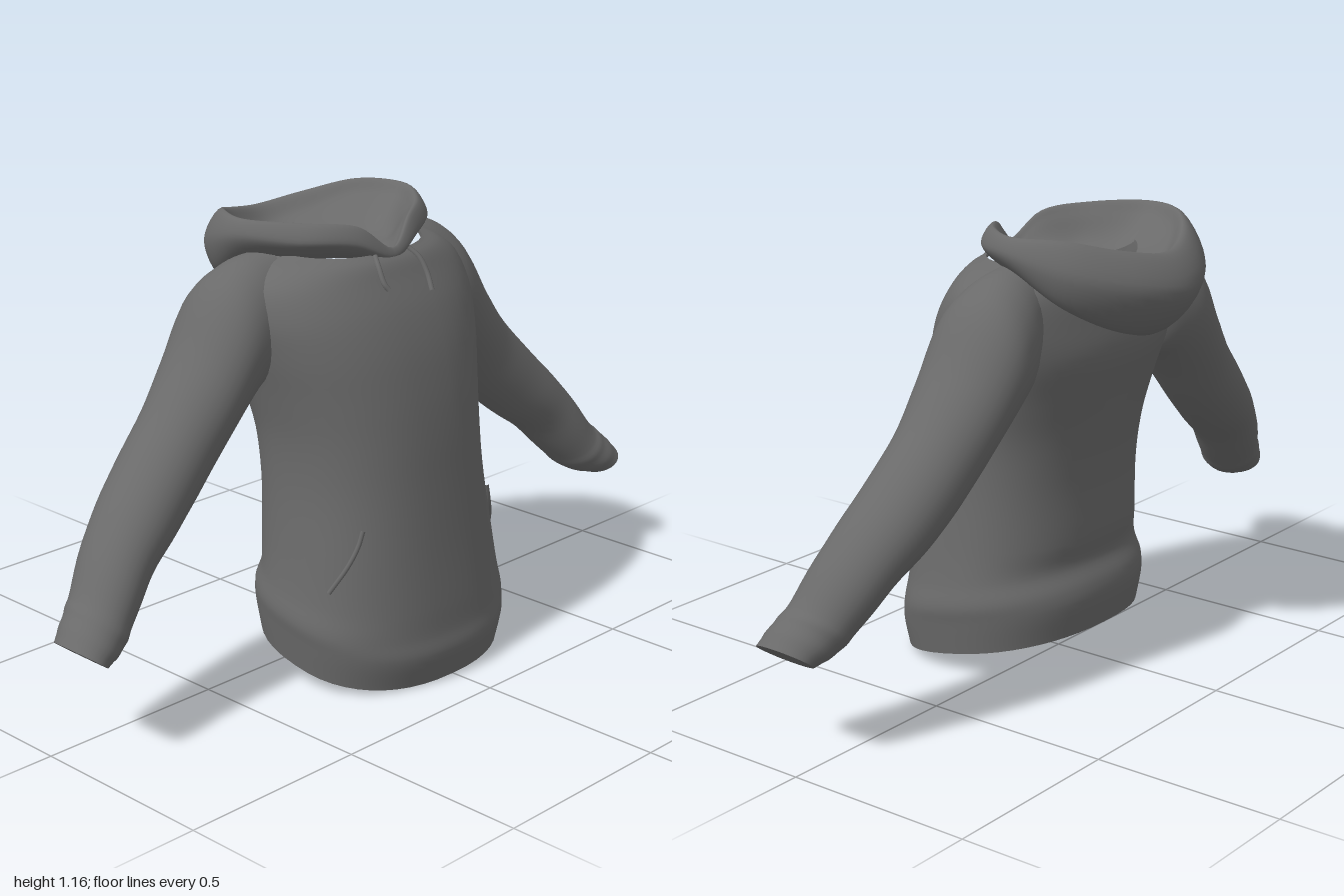
import * as THREE from 'three';

const V = (x, y, z) => new THREE.Vector3(x, y, z);
const SIDES = 48;

// Resample a stack of cross-sections smoothly along its length
function smooth(rows, n) {
  const columns = rows[0].map((_, j) => new THREE.CatmullRomCurve3(rows.map((r) => r[j])).getPoints(n));
  return Array.from({ length: n + 1 }, (_, i) => columns.map((c) => c[i]));
}

// Skin closed cross-sections with smooth normals
function loft(rows) {
  const n = rows[0].length, index = [];
  for (let i = 0; i < rows.length - 1; i++) {
    for (let j = 0; j < n; j++) {
      const k = (j + 1) % n, a = i * n + j, b = i * n + k;
      index.push(a, b, a + n, b, b + n, a + n);
    }
  }
  const g = new THREE.BufferGeometry().setFromPoints(rows.flat());
  g.setIndex(index);
  g.computeVertexNormals();
  return g;
}

// Torso rings: y front, y back, z front, z back, half width, z of widest point
const RINGS = [
  [0.003, 0.105, 0.375, -0.15, 0.32, 0.13],
  [0.08, 0.195, 0.39, -0.165, 0.332, 0.13],
  [0.13, 0.235, 0.38, -0.158, 0.338, 0.13],
  [0.2, 0.285, 0.372, -0.135, 0.325, 0.12],
  [0.33, 0.35, 0.355, -0.143, 0.31, 0.11],
  [0.5, 0.5, 0.335, -0.147, 0.295, 0.08],
  [0.63, 0.63, 0.32, -0.165, 0.298, 0.06],
  [0.74, 0.74, 0.302, -0.19, 0.318, 0.03],
  [0.85, 0.85, 0.275, -0.216, 0.345, 0],
  [0.94, 0.94, 0.24, -0.203, 0.36, -0.03],
  [1.01, 1.01, 0.2, -0.185, 0.345, -0.05],
  [1.05, 1.055, 0.175, -0.165, 0.29, -0.05],
  [1.07, 1.08, 0.15, -0.14, 0.22, -0.04],
];
const POW = 0.85;
const bend = (v) => Math.sign(v) * Math.abs(v) ** POW;

function torsoRing([yF, yB, zF, zB, w, zc]) {
  return Array.from({ length: SIDES }, (_, j) => {
    const a = (j / SIDES) * Math.PI * 2, c = bend(Math.cos(a));
    const z = zc + c * (c > 0 ? zF - zc : zc - zB);
    return V(w * bend(Math.sin(a)), yF + ((yB - yF) * (zF - z)) / (zF - zB), z);
  });
}

// Depth of the chest surface, for laying details on it
function frontZ(x, y) {
  const i = Math.max(1, RINGS.findIndex((r) => r[0] >= y));
  const lo = RINGS[i - 1], hi = RINGS[i], t = (y - lo[0]) / (hi[0] - lo[0]);
  const [, , zF, , w, zc] = lo.map((v, k) => v + (hi[k] - v) * t);
  const s = Math.max(0, 1 - Math.min(1, Math.abs(x) / w) ** (2 / POW));
  return zc + (zF - zc) * s ** (POW / 2);
}

// Sleeve sections: upper x, y, lower x, y, z centre, z half depth
const SLEEVE = [
  [0.24, 1.085, 0.26, 0.82, -0.05, 0.1],
  [0.33, 1.068, 0.29, 0.76, -0.055, 0.125],
  [0.41, 1.02, 0.34, 0.73, -0.057, 0.14],
  [0.51, 0.87, 0.41, 0.665, -0.052, 0.132],
  [0.6, 0.755, 0.49, 0.575, -0.045, 0.118],
  [0.72, 0.63, 0.6, 0.475, -0.028, 0.115],
  [0.83, 0.51, 0.72, 0.385, 0, 0.105],
  [0.92, 0.385, 0.81, 0.29, 0.035, 0.094],
  [0.95, 0.355, 0.85, 0.255, 0.05, 0.092],
  [0.995, 0.303, 0.908, 0.235, 0.068, 0.082],
];

function sleeveRing([ux, uy, lx, ly, zc, hz], side) {
  return Array.from({ length: 32 }, (_, j) => {
    const a = (j / 32) * Math.PI * 2 * side, c = Math.cos(a) / 2;
    return V(side * ((ux + lx) / 2 + (ux - lx) * c), (uy + ly) / 2 + (uy - ly) * c, zc + hz * Math.sin(a));
  });
}

// Hood outlines, front centre to back centre: neck, underside, outer, crest, inner rim, lining
const HOOD = [
  [[0, 1.045, 0.13], [0.09, 1.06, 0.1], [0.18, 1.06, 0.03], [0.22, 1.04, -0.08], [0.18, 1, -0.16], [0.1, 0.96, -0.18], [0, 0.94, -0.18]],
  [[0, 1.045, 0.155], [0.1, 1.08, 0.13], [0.22, 1.085, 0.04], [0.28, 1.07, -0.09], [0.25, 1, -0.2], [0.13, 0.93, -0.275], [0, 0.9, -0.295]],
  [[0, 1.06, 0.165], [0.11, 1.105, 0.14], [0.23, 1.115, 0.06], [0.306, 1.12, -0.08], [0.27, 1.08, -0.23], [0.14, 1.04, -0.35], [0, 1.02, -0.393]],
  [[0, 1.08, 0.155], [0.09, 1.142, 0.125], [0.2, 1.157, 0.05], [0.285, 1.162, -0.08], [0.24, 1.16, -0.2], [0.13, 1.13, -0.29], [0, 1.11, -0.33]],
  [[0, 1.065, 0.138], [0.08, 1.12, 0.11], [0.18, 1.13, 0.03], [0.255, 1.13, -0.08], [0.21, 1.125, -0.19], [0.11, 1.09, -0.25], [0, 1.07, -0.28]],
  [[0, 1.045, 0.1], [0.06, 1.065, 0.07], [0.12, 1.065, 0.02], [0.16, 1.06, -0.07], [0.13, 1.06, -0.13], [0.07, 1.05, -0.16], [0, 1.04, -0.17]],
];

function hoodRing(half) {
  const mirrored = half.slice(1, -1).reverse().map(([x, y, z]) => [-x, y, z]);
  const curve = new THREE.CatmullRomCurve3([...half, ...mirrored].map((p) => V(...p)), true);
  return curve.getPoints(72).slice(0, 72);
}

export function createModel() {
  const fabric = new THREE.MeshStandardMaterial({ color: 0x6a6a6a });
  fabric.name = 'grey fabric';
  const inside = new THREE.MeshStandardMaterial({ color: 0x050505 });
  inside.name = 'black inside';

  const model = new THREE.Group();
  model.name = 'hoodedSweatshirt';
  const add = (name, geometry, material = fabric) => {
    const mesh = new THREE.Mesh(geometry, material);
    mesh.name = name;
    model.add(mesh);
  };

  // Body, with the dark opening at the hem
  const body = smooth(RINGS.map(torsoRing), 60);
  add('torso', loft(body));
  const hem = body[0];
  add('hemOpening', loft([hem.map(() => V(0, 0.052, 0.115)), hem]), inside);

  // Hood lying open around the neck, with its lining
  const hoodRows = HOOD.map(hoodRing);
  hoodRows.push(hoodRows[0].map(() => V(0, 1.035, -0.03)));
  add('hood', loft(smooth(hoodRows, 36)));

  for (const side of [1, -1]) {
    const label = side > 0 ? 'left' : 'right';

    // Sleeve with soft wrinkles towards the wrist, and a closed cuff
    const rows = smooth(SLEEVE.map((s) => sleeveRing(s, side)), 54);
    rows.forEach((row, i) => {
      const t = i / 54;
      if (t < 0.4 || t > 0.95) return;
      const centre = row.reduce((s, p) => s.add(p), V(0, 0, 0)).divideScalar(row.length);
      const swell = 1 + 0.03 * Math.sin(t * 55) * (t - 0.4);
      row.forEach((p) => p.sub(centre).multiplyScalar(swell).add(centre));
    });
    add(label + 'Sleeve', loft(rows));
    const end = rows[rows.length - 1];
    const middle = end.reduce((s, p) => s.add(p), V(0, 0, 0)).divideScalar(end.length);
    add(label + 'CuffEnd', loft([end.map((p) => p.clone()), end.map(() => middle)]));

    // Details laid on the chest surface
    const strip = (name, points, radius) => {
      const path = new THREE.CatmullRomCurve3(points.map(([x, y]) => V(side * x, y, frontZ(x, y) + 0.003)));
      add(label + name, new THREE.TubeGeometry(path, 20, radius, 8));
    };
    strip('PocketEdge', [[0.23, 0.43], [0.243, 0.39], [0.265, 0.34], [0.297, 0.27]], 0.006);
    const drop = side > 0 ? 0 : 0.025;
    strip('Drawstring', [[0.06, 1.068], [0.073, 1.045], [0.077, 1.01], [0.07, 0.97 + drop]], 0.007);
  }
  return model;
}
